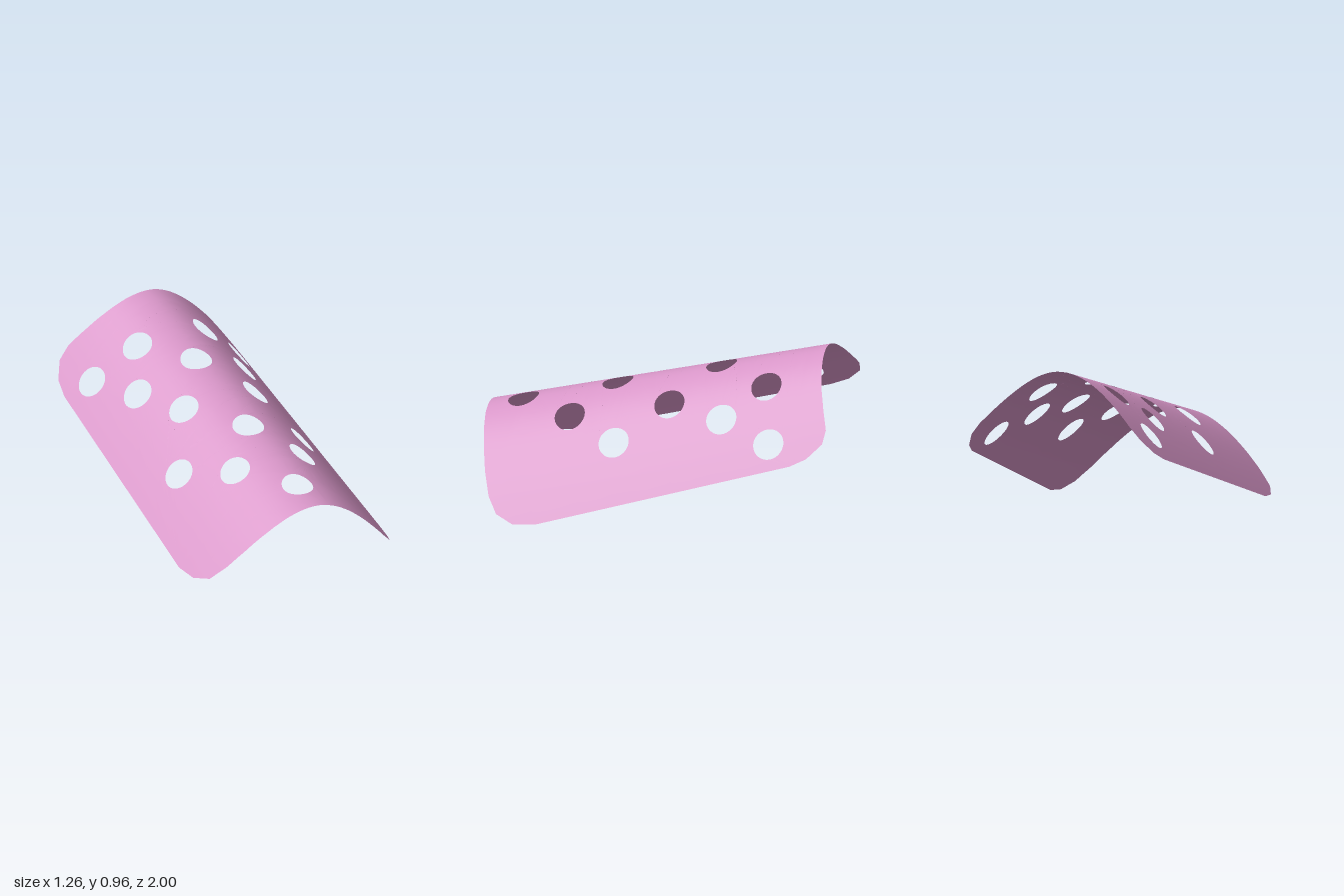
import * as THREE from 'three';
import { mergeVertices } from 'three/addons/utils/BufferGeometryUtils.js';

const TILT = THREE.MathUtils.degToRad(15);
const C = Math.cos(TILT), S = Math.sin(TILT);

// Drop of the arch below its ridge; the two sides differ slightly
function drop(x) {
  const c = x > 0 ? 0.604 : 0.713;
  return Math.sqrt(c * c + 2.25 * x * x) - c;
}

// Height of the tilted, tapering arch over a ground point
function height(x, z) {
  let along = (1 - z) / C, h = 0;
  for (let i = 0; i < 12; i++) {
    const k = 1 - 0.0585 * along;
    h = k * drop(x / k);
    along = (1 - z - S * h) / C;
  }
  return 0.455 + S * along - C * h;
}

// Plan outline (x, z), counter-clockwise seen from above
const OUTLINE = [
  [0, 0.998], [0.1, 0.995], [0.2, 0.982], [0.3, 0.96], [0.4, 0.931], [0.5, 0.888],
  [0.57, 0.83], [0.615, 0.73], [0.628, 0.6], [0.553, -0.82], [0.535, -0.91], [0.49, -0.99],
  [0.44, -1], [0.36, -0.968], [0.27, -0.937], [0.18, -0.917], [0.1, -0.907], [0, -0.903],
  [-0.08, -0.906], [-0.16, -0.915], [-0.24, -0.93], [-0.34, -0.957], [-0.44, -0.99],
  [-0.5, -0.98], [-0.55, -0.905], [-0.57, -0.8], [-0.632, 0.61], [-0.615, 0.74],
  [-0.57, 0.845], [-0.49, 0.9], [-0.4, 0.935], [-0.28, 0.968], [-0.2, 0.983], [-0.1, 0.995],
];

// Hole centres (x, z)
const HOLES = [
  [-0.455, -0.695], [-0.217, -0.608], [0.212, -0.613], [0.46, -0.68],
  [-0.344, -0.378], [-0.013, -0.31], [0.333, -0.386],
  [-0.228, -0.063], [0.225, -0.069],
  [-0.413, 0.214], [-0.011, 0.275], [0.362, 0.214],
  [-0.217, 0.497], [0.206, 0.497], [0.005, 0.803],
];

// A round hole in the sloping sheet, seen in plan: an ellipse squashed along the slope
function holePath([x, z], r = 0.088) {
  const e = 0.01;
  const gx = (height(x + e, z) - height(x - e, z)) / (2 * e);
  const gz = (height(x, z + e) - height(x, z - e)) / (2 * e);
  const squash = 1 / Math.sqrt(1 + gx * gx + gz * gz);
  const path = new THREE.Path();
  path.absellipse(x, -z, r * squash, r, 0, Math.PI * 2, true, Math.atan2(-gz, gx));
  return path;
}

// Split triangles until they are fine enough to bend smoothly
function refine(a, b, c, out) {
  const size = (p, q) => Math.max(Math.abs(p.x - q.x), Math.abs(p.y - q.y) / 3);
  const ab = size(a, b), bc = size(b, c), ca = size(c, a);
  const longest = Math.max(ab, bc, ca);
  if (longest < 0.04) {
    for (const p of [a, b, c]) out.push(p.x, height(p.x, -p.y), -p.y);
    return;
  }
  if (longest === bc) [a, b, c] = [b, c, a];
  else if (longest === ca) [a, b, c] = [c, a, b];
  const m = a.clone().add(b).multiplyScalar(0.5);
  refine(a, m, c, out);
  refine(m, b, c, out);
}

export function createModel() {
  const shape = new THREE.Shape(OUTLINE.map(([x, z]) => new THREE.Vector2(x, -z)));
  shape.holes = HOLES.map((h) => holePath(h));

  // Flat perforated sheet, refined and lifted onto the arch
  const flat = new THREE.ShapeGeometry(shape, 20);
  const pos = flat.attributes.position, idx = flat.index;
  const corner = (i) => new THREE.Vector2().fromBufferAttribute(pos, idx.getX(i));
  const out = [];
  for (let i = 0; i < idx.count; i += 3) refine(corner(i), corner(i + 1), corner(i + 2), out);

  let geometry = new THREE.BufferGeometry();
  geometry.setAttribute('position', new THREE.Float32BufferAttribute(out, 3));
  geometry = mergeVertices(geometry, 1e-5);
  geometry.computeBoundingBox();
  geometry.translate(0, -geometry.boundingBox.min.y, 0);
  geometry.computeVertexNormals();

  const sheet = new THREE.Mesh(geometry, new THREE.MeshStandardMaterial({
    color: 0xd896c8, side: THREE.DoubleSide,
  }));
  sheet.name = 'perforatedArchedSheet';
  const group = new THREE.Group();
  group.name = 'archedShell';
  group.add(sheet);
  return group;
}
